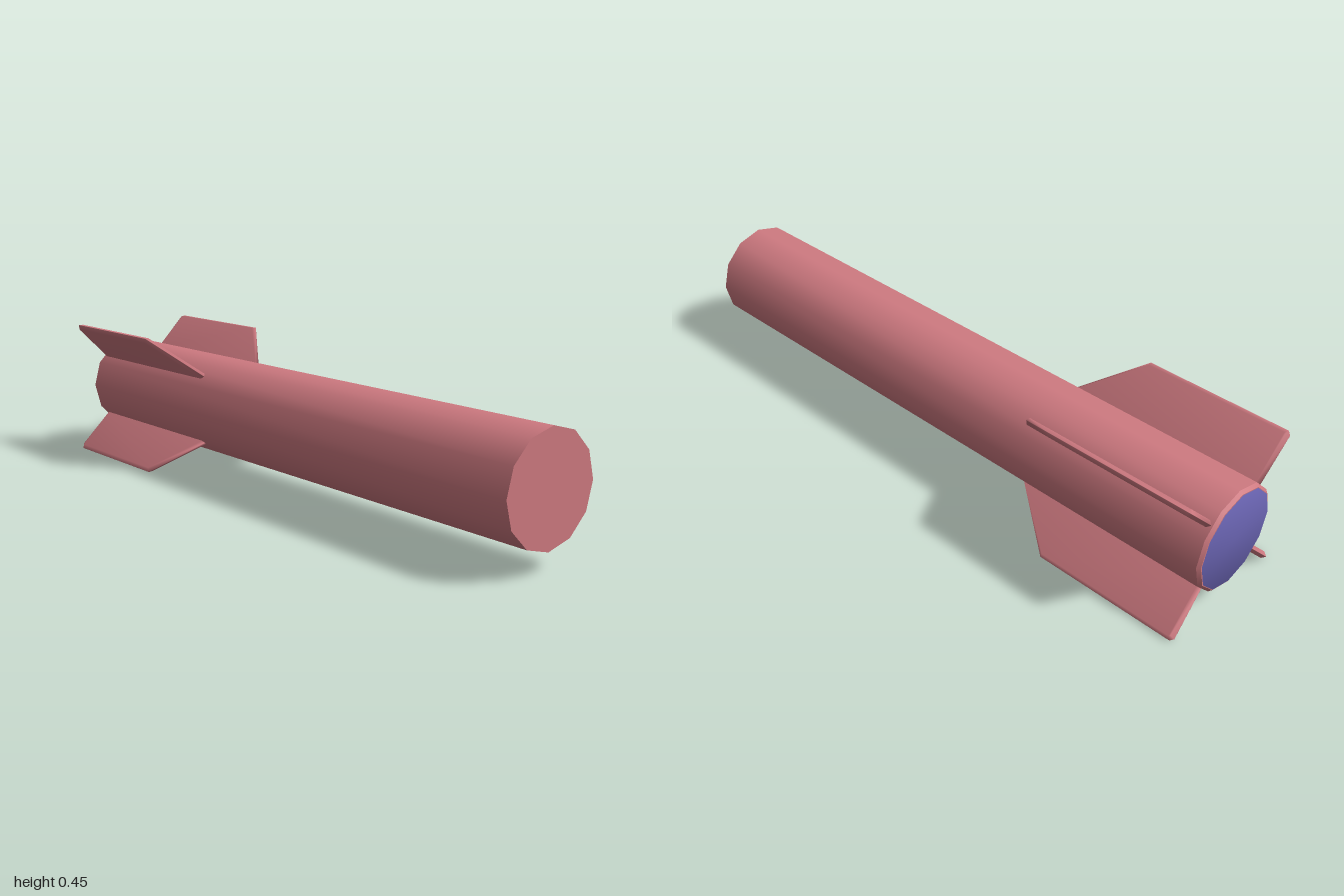
import * as THREE from 'three';
import { mergeVertices } from 'three/addons/utils/BufferGeometryUtils.js';

const SIDES = 12, RADIUS = 0.162, AXIS_Y = 0.226;

// Thin plate with ridged edges, outlined as (distance from axis, z)
function finGeometry() {
  const outline = [[0.145, -0.345], [0.318, -0.528], [0.318, -0.98], [0.308, -0.99], [0.145, -0.985]];
  const shape = new THREE.Shape(outline.map(([r, z]) => new THREE.Vector2(r, z)));
  const geo = new THREE.ExtrudeGeometry(shape, {
    depth: 0.001, bevelEnabled: true, bevelSegments: 1,
    bevelThickness: 0.01, bevelSize: 0.01, bevelOffset: -0.01,
  });
  geo.translate(0, 0, -0.0005).rotateX(Math.PI / 2);
  geo.deleteAttribute('uv');
  geo.deleteAttribute('normal');
  const smooth = mergeVertices(geo, 1e-4);
  smooth.computeVertexNormals();
  return smooth;
}

// Flat disc facing -z, its rim normals leaning outward for a soft edge
function nozzleGeometry(radius) {
  const geo = new THREE.CircleGeometry(radius, SIDES).rotateY(Math.PI);
  const pos = geo.attributes.position, normal = geo.attributes.normal;
  const v = new THREE.Vector3();
  for (let i = 0; i < pos.count; i++) {
    v.fromBufferAttribute(pos, i).multiplyScalar(0.4 / radius);
    v.z = -1;
    v.normalize();
    normal.setXYZ(i, v.x, v.y, v.z);
  }
  return geo;
}

export function createModel() {
  const casing = new THREE.MeshStandardMaterial({ color: 0xcf7a81 });
  casing.name = 'casingPink';
  const exhaust = new THREE.MeshStandardMaterial({ color: 0x6a64b2 });
  exhaust.name = 'exhaustBlue';

  const model = new THREE.Group();
  model.name = 'rocket';
  const add = (name, geo, material) => {
    const mesh = new THREE.Mesh(geo, material);
    mesh.name = name;
    mesh.position.y = AXIS_Y;
    model.add(mesh);
    return mesh;
  };

  // Body tube, from just ahead of the rear rim to the flat nose
  const body = new THREE.CylinderGeometry(RADIUS, RADIUS, 1.99, SIDES);
  add('body', body.rotateX(Math.PI / 2).translate(0, 0, 0.005), casing);

  // Chamfered rear rim
  const rim = new THREE.CylinderGeometry(RADIUS, 0.153, 0.009, SIDES);
  add('rearRim', rim.rotateX(Math.PI / 2).translate(0, 0, -0.9945), casing);

  // Coloured exhaust face
  add('exhaustFace', nozzleGeometry(0.151).translate(0, 0, -1), exhaust);

  // Four diagonal tail fins
  const fin = finGeometry();
  const names = ['finUpperLeft', 'finUpperRight', 'finLowerRight', 'finLowerLeft'];
  names.forEach((name, i) => {
    add(name, fin, casing).rotation.z = Math.PI / 4 + i * Math.PI / 2;
  });

  return model;
}
